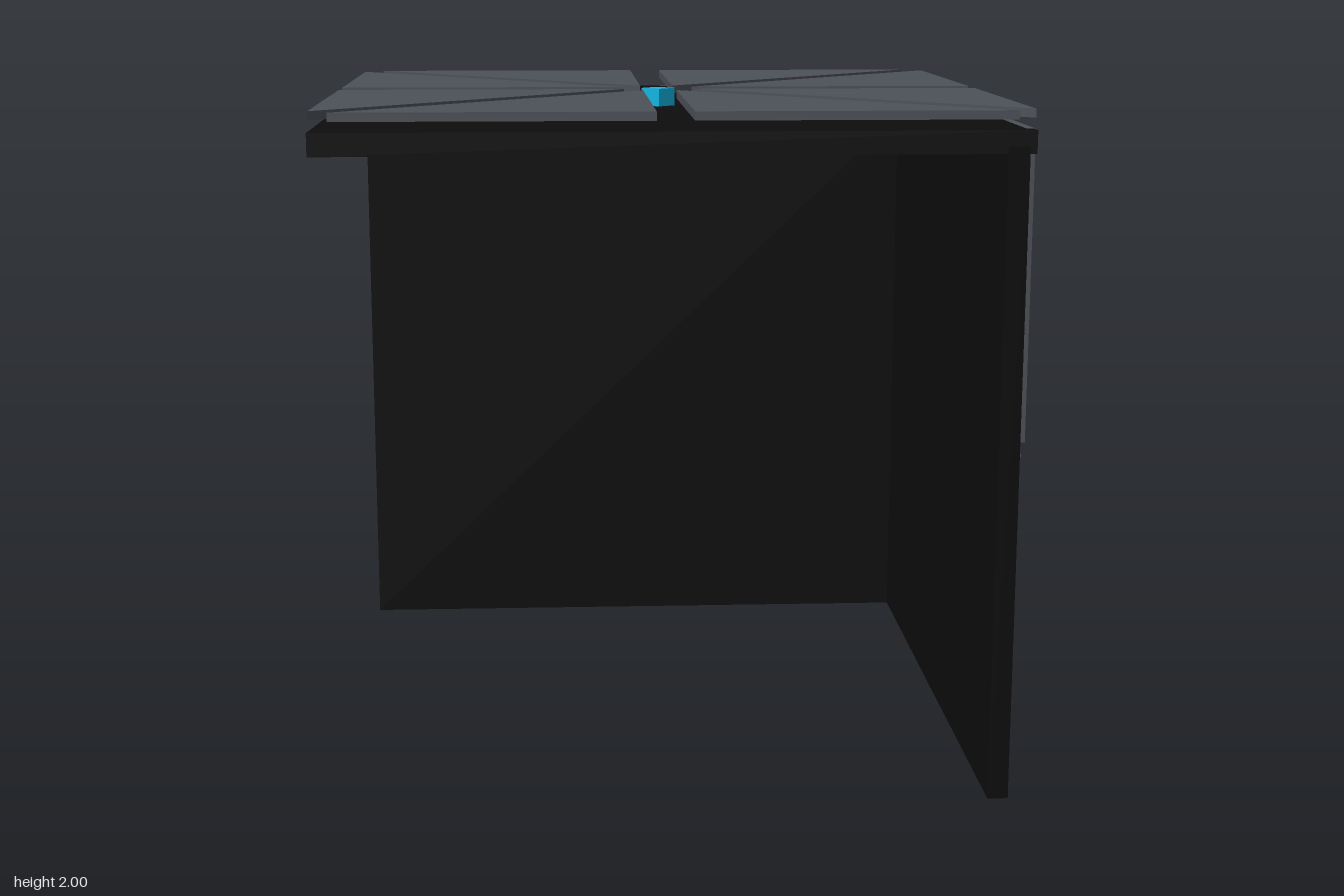
import * as THREE from 'three';

const black = new THREE.MeshStandardMaterial({ color: 0x0d0d0d });
const grey = new THREE.MeshStandardMaterial({ color: 0x4d5158 });
const cyan = new THREE.MeshStandardMaterial({ color: 0x12b4e2 });
const DEPTH = 0.025; // thickness of the raised plates

function box(name, material, min, max) {
  const size = max.map((v, i) => v - min[i]);
  const mesh = new THREE.Mesh(new THREE.BoxGeometry(...size), material);
  mesh.position.set(...max.map((v, i) => (v + min[i]) / 2));
  mesh.name = name;
  return mesh;
}

// Flat plate from an outline in XY, extruded towards +z
function plate(name, material, points) {
  const shape = new THREE.Shape(points.map(([x, y]) => new THREE.Vector2(x, y)));
  const mesh = new THREE.Mesh(
    new THREE.ExtrudeGeometry(shape, { depth: DEPTH, bevelEnabled: false }), material);
  mesh.name = name;
  return mesh;
}

// Cross-shaped light framed by four small triangles
function crossLight(x, y) {
  const g = new THREE.Group();
  g.name = 'crossLight';
  const a = 0.027, arm = 0.085, r = 0.145;
  g.add(plate('lightCross', cyan, [
    [a, a], [a, arm], [-a, arm], [-a, a], [-arm, a], [-arm, -a],
    [-a, -a], [-a, -arm], [a, -arm], [a, -a], [arm, -a], [arm, a]]));
  for (const sx of [-1, 1]) for (const sy of [-1, 1]) {
    g.add(plate('lightFrame', grey, [[sx * a, sy * a], [sx * r, sy * a], [sx * a, sy * r]]));
  }
  g.position.set(x, y, 0);
  return g;
}

// Raised plates on the outside of one wall, facing local +z
function wallPlates(name) {
  const g = new THREE.Group();
  g.name = name;
  g.add(plate('middlePanel', grey, [[-0.9, 1], [0.9, 1], [0, 1.945]]));
  g.add(plate('lowerPanel', grey, [[-0.5, 0], [0.5, 0], [0, 0.95]]));
  for (const s of [-1, 1]) {
    g.add(plate('cornerPanel', grey, [[s * 0.945, 1.055], [s * 0.945, 1.945], [s * 0.055, 1.945]]));
    g.add(crossLight(s * 0.4, 0.65), crossLight(s * 0.65, 0.15));
  }
  return g;
}

export function createModel() {
  const model = new THREE.Group();
  model.name = 'cornerShelter';

  // Slabs
  model.add(box('roofSlab', black, [-1, 1.88, -0.99], [0.995, 1.945, 0.995]));
  model.add(box('sideWall', black, [0.915, 0, -0.985], [0.975, 1.9, 1]));
  model.add(box('backWall', black, [-1, 0, -0.975], [0.975, 1.9, -0.915]));

  // Wall decoration
  const side = wallPlates('sideWallPlates');
  side.rotation.y = Math.PI / 2;
  side.position.x = 0.975;
  const back = wallPlates('backWallPlates');
  back.rotation.y = Math.PI;
  back.position.z = -0.975;
  model.add(side, back);

  // Eight floating roof triangles
  const roof = new THREE.Group();
  roof.name = 'roofPanels';
  for (const sx of [-1, 1]) for (const sy of [-1, 1]) {
    const tri = [[0.11, 0.052], [1, 0.052], [1, 0.942]];
    roof.add(plate('roofPanel', grey, tri.map(([u, v]) => [sx * u, sy * v])));
    roof.add(plate('roofPanel', grey, tri.map(([u, v]) => [sx * v, sy * u])));
  }
  roof.rotation.x = -Math.PI / 2;
  roof.position.y = 1.975;
  model.add(roof);

  // Roof light, turned to a diamond
  const light = box('roofLight', cyan, [-0.0375, 1.925, -0.0375], [0.0375, 2, 0.0375]);
  light.rotation.y = Math.PI / 4;
  model.add(light);

  return model;
}
